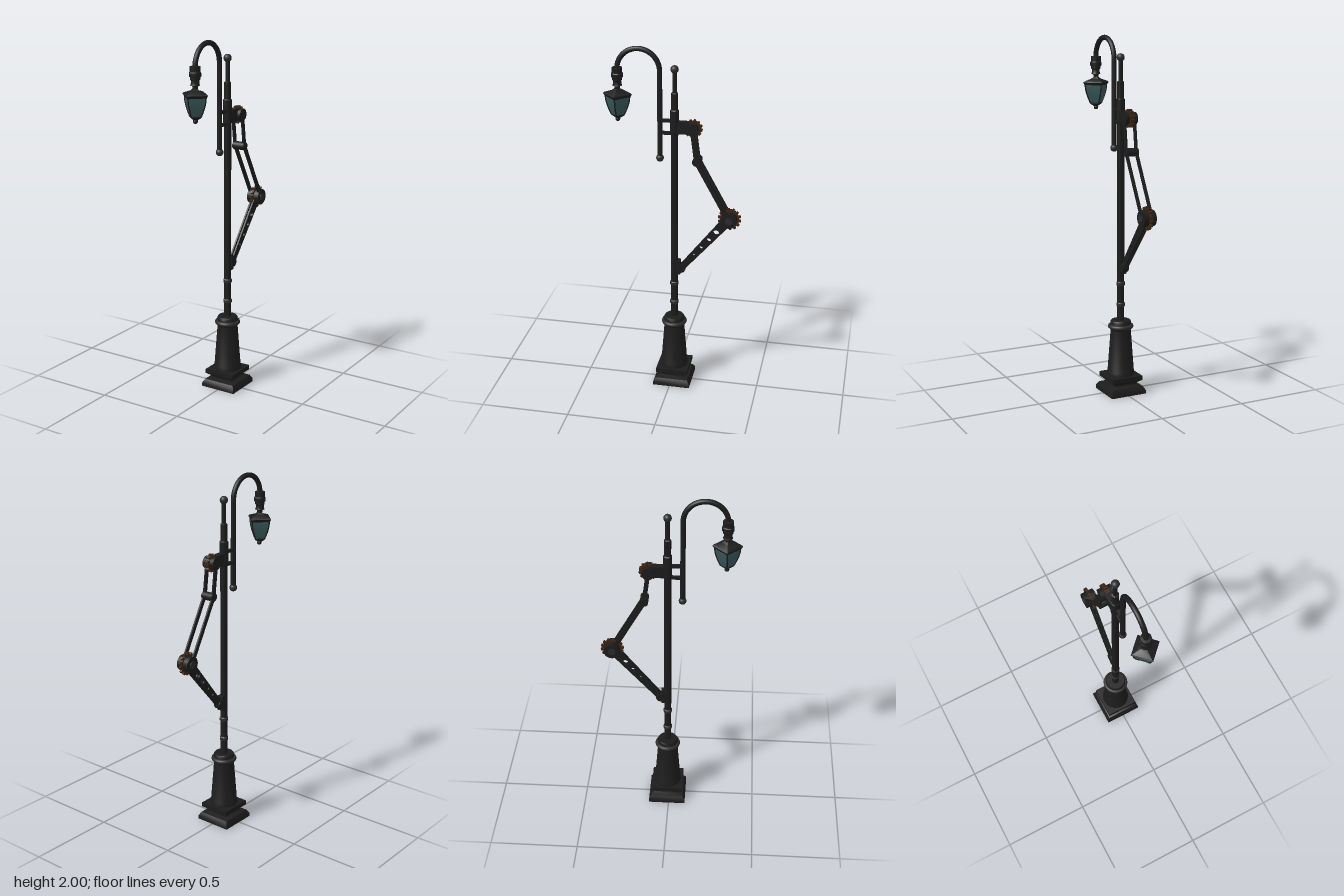
import * as THREE from 'three';
import { toCreasedNormals } from 'three/addons/utils/BufferGeometryUtils.js';

export function createModel() {
  const root = new THREE.Group();
  root.name = 'streetLamp';
  const mat = (color) => new THREE.MeshStandardMaterial({ color, side: THREE.DoubleSide });
  const iron = mat(0x1c1c1c), steel = mat(0x2c2c2c), copper = mat(0x3d2412), glass = mat(0x38585a);
  const POLE_Z = -0.01, LAMP_Z = 0.3;

  function add(name, geometry, material = iron, x = 0, y = 0, z = 0, parent = root) {
    const mesh = new THREE.Mesh(geometry, material);
    mesh.name = name;
    mesh.position.set(x, y, z);
    parent.add(mesh);
    return mesh;
  }
  // Turned profile, [radius, y] from bottom to top
  const lathe = (pts, sides = 24) => toCreasedNormals(
    new THREE.LatheGeometry(pts.map((p) => new THREE.Vector2(p[0], p[1])), sides), 0.6);
  // Square profile, [half width, y], sides parallel to the axes
  const square = (pts) => lathe(pts.map(([r, y]) => [r * Math.SQRT2, y]), 4).rotateY(Math.PI / 4);
  // Shape drawn in (-z, y), extruded along x about the middle
  const sideExtrude = (shape, width) => new THREE.ExtrudeGeometry(shape,
    { depth: width, bevelEnabled: false, curveSegments: 14 }).translate(0, 0, -width / 2).rotateY(Math.PI / 2);
  const drum = (r, width) => new THREE.CylinderGeometry(r, r, width, 20).rotateZ(Math.PI / 2);
  const ball = (r) => new THREE.SphereGeometry(r, 20, 14);

  // Flat bar between two [z, y] points, with optional holes [t, radius]
  function bar(a, b, wa, wb, width, holes = []) {
    const len = Math.hypot(b[0] - a[0], b[1] - a[1]);
    const shape = new THREE.Shape([
      new THREE.Vector2(0, -wa / 2), new THREE.Vector2(len, -wb / 2),
      new THREE.Vector2(len, wb / 2), new THREE.Vector2(0, wa / 2)]);
    for (const [t, r] of holes) {
      shape.holes.push(new THREE.Path().absarc(t * len, 0, r, 0, Math.PI * 2, true));
    }
    return sideExtrude(shape, width)
      .rotateX(Math.atan2(b[1] - a[1], a[0] - b[0]))
      .translate(0, a[1], a[0]);
  }

  function gear(r, teeth, width) {
    const shape = new THREE.Shape();
    for (let i = 0; i < teeth; i++) {
      [[0, 0.82], [0.4, 0.82], [0.5, 1], [0.9, 1]].forEach(([o, k], j) => {
        const a = ((i + o) / teeth) * Math.PI * 2;
        shape[i + j ? 'lineTo' : 'moveTo'](Math.cos(a) * r * k, Math.sin(a) * r * k);
      });
    }
    return sideExtrude(shape, width);
  }

  // Square plinth
  add('plinth', square([[0, 0], [0.106, 0], [0.106, 0.02], [0.093, 0.042], [0.066, 0.052],
    [0.066, 0.06], [0.091, 0.078], [0.091, 0.103], [0, 0.105]]), iron, 0, 0, POLE_Z);
  // Round tapered pedestal with its ring
  add('pedestal', lathe([[0.078, 0.1], [0.078, 0.118], [0.075, 0.125], [0.057, 0.365], [0.06, 0.37],
    [0.06, 0.395], [0.058, 0.4], [0.058, 0.412], [0.053, 0.42], [0, 0.42]], 32), iron, 0, 0, POLE_Z);
  add('pedestalRing', new THREE.TorusGeometry(0.059, 0.013, 10, 32).rotateX(Math.PI / 2), steel, 0, 0.385, POLE_Z);

  // Pole, stepped towards the top
  add('pole', lathe([[0.02, 0.41], [0.02, 1.53], [0.024, 1.535], [0.024, 1.66], [0.019, 1.665],
    [0.019, 1.755], [0.012, 1.76], [0.012, 1.88]]), iron, 0, 0, POLE_Z);
  add('poleFinial', ball(0.022), steel, 0, 1.885, POLE_Z);
  for (const y of [0.51, 0.63]) {
    add('poleRing', lathe([[0.019, -0.014], [0.024, -0.008], [0.024, 0.008], [0.019, 0.014]]),
      steel, 0, y, POLE_Z);
  }

  // Curved lamp arm
  const armPath = new THREE.CurvePath();
  armPath.add(new THREE.LineCurve3(new THREE.Vector3(0, 1.385, 0.07), new THREE.Vector3(0, 1.87, 0.07)));
  const arc = [];
  for (let i = 0; i <= 16; i++) {
    const a = (i / 16) * Math.PI;
    arc.push(new THREE.Vector3(0, 1.87 + 0.116 * Math.sin(a), 0.185 - 0.115 * Math.cos(a)));
  }
  armPath.add(new THREE.CatmullRomCurve3(arc));
  add('lampArm', new THREE.TubeGeometry(armPath, 80, 0.014, 14));
  add('lampArmEnd', ball(0.021), steel, 0, 1.385, 0.07);
  for (const y of [1.53, 1.6]) {
    add('armBracket', new THREE.BoxGeometry(0.018, 0.016, 0.08), iron, 0, y, 0.03);
  }

  // Lantern: collar, square cap, four glass panes, corner ribs
  const lantern = new THREE.Group();
  lantern.name = 'lantern';
  lantern.position.z = LAMP_Z;
  root.add(lantern);
  add('lampCollar', lathe([[0.014, 1.73], [0.014, 1.775], [0.026, 1.78], [0.022, 1.79], [0.022, 1.805],
    [0.027, 1.81], [0.027, 1.823], [0.032, 1.826], [0.032, 1.845], [0.028, 1.85], [0.028, 1.878],
    [0.013, 1.88]]), iron, 0, 0, 0, lantern);
  add('lampCap', lathe([[0, 1.718], [0.07, 1.718], [0.08, 1.732], [0.074, 1.738], [0.03, 1.752], [0.013, 1.765]], 4),
    iron, 0, 0, 0, lantern);
  const pane = [[0.034, 1.615], [0.052, 1.655], [0.063, 1.69], [0.067, 1.722]];
  add('lampGlass', lathe(pane, 4), glass, 0, 0, 0, lantern);
  for (let i = 0; i < 4; i++) {
    const path = new THREE.CatmullRomCurve3(pane.map(([r, y]) => new THREE.Vector3(r, y, 0)));
    add('lampRib', new THREE.TubeGeometry(path, 10, 0.004, 6), iron, 0, 0, 0, lantern)
      .rotation.y = (i * Math.PI) / 2;
  }
  add('lampFoot', lathe([[0, 1.596], [0.012, 1.598], [0.036, 1.612], [0.036, 1.62], [0, 1.62]], 4),
    iron, 0, 0, 0, lantern);
  add('lampFinial', ball(0.013), iron, 0, 1.592, 0, lantern);

  // Jointed arm behind the pole, points as [z, y]
  const shoulder = [-0.112, 1.565], joint = [-0.135, 1.385], elbow = [-0.317, 1.055], foot = [-0.05, 0.73];
  add('shoulderBlock', new THREE.BoxGeometry(0.036, 0.066, 0.09), iron, 0, 1.567, -0.062);
  add('shoulderDrum', drum(0.034, 0.072), iron, 0, shoulder[1], shoulder[0]);
  add('shoulderGear', gear(0.05, 12, 0.023), copper, 0, shoulder[1], shoulder[0]);
  add('middleJoint', drum(0.023, 0.072), iron, 0, joint[1], joint[0]);
  add('elbowDrum', drum(0.044, 0.072), iron, 0, joint[1] - 0.33, elbow[0]);
  add('elbowGear', gear(0.064, 14, 0.014), copper, 0, elbow[1], elbow[0]);
  const holes = [[0.27, 0.017], [0.42, 0.0135], [0.58, 0.0115], [0.73, 0.009]];
  for (const side of [-1, 1]) {
    add('upperRod', bar(shoulder, joint, 0.024, 0.024, 0.009), iron, side * 0.03);
    add('foreRod', bar(joint, elbow, 0.024, 0.024, 0.009), iron, side * 0.03);
    add('lowerPlate', bar(elbow, foot, 0.056, 0.034, 0.009, holes), iron, side * 0.008);
    add('elbowCap', drum(0.02, 0.006), steel, side * 0.037, elbow[1], elbow[0]);
  }
  // Lower mount on the pole
  add('lowerMount', new THREE.BoxGeometry(0.036, 0.085, 0.025), iron, 0, 0.735, -0.033);
  add('lowerHinge', drum(0.025, 0.036), iron, 0, foot[1], foot[0]);

  return root;
}
